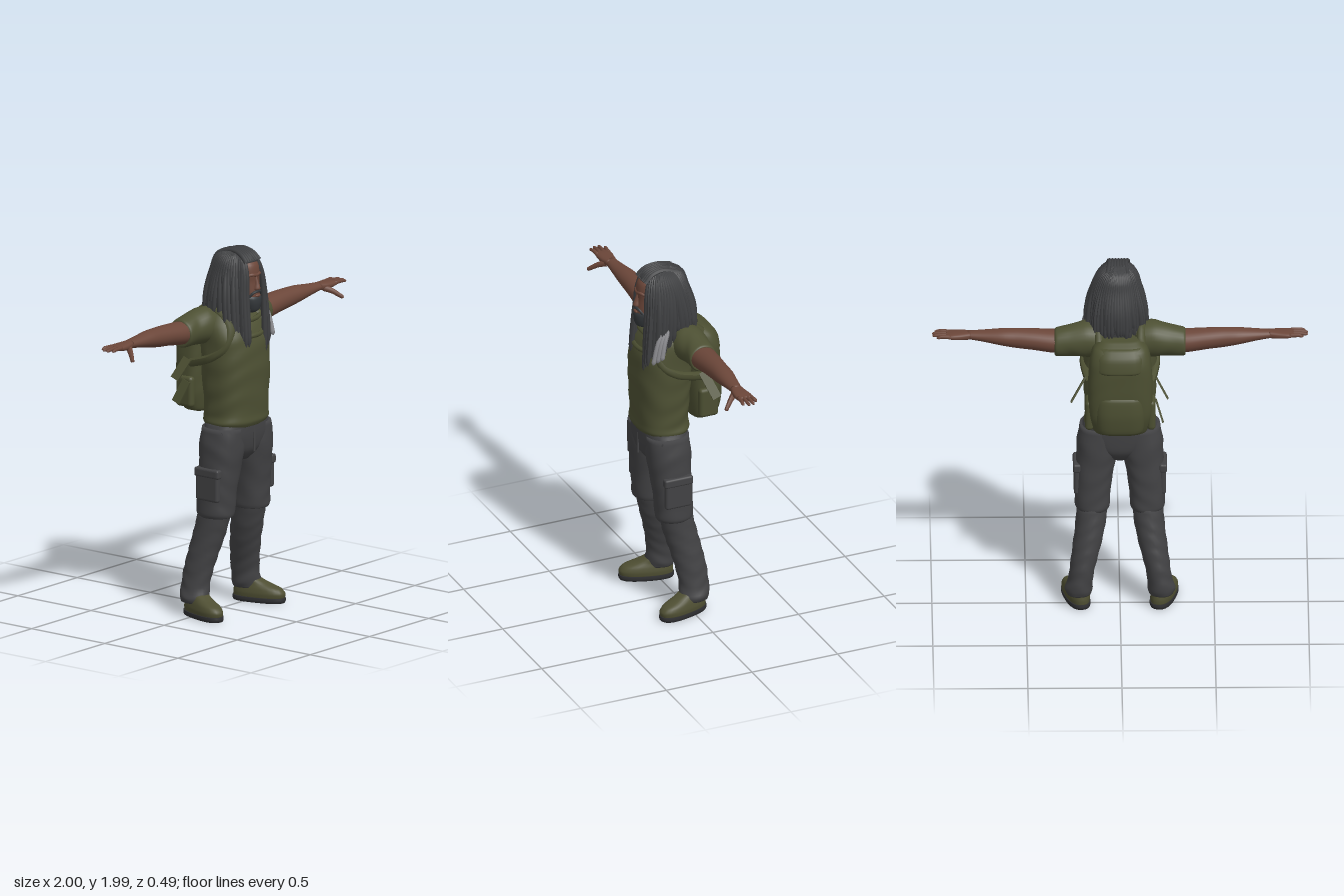
import * as THREE from 'three';
import { RoundedBoxGeometry } from 'three/addons/geometries/RoundedBoxGeometry.js';

const mat = (name, color) => Object.assign(new THREE.MeshStandardMaterial({ color }), { name });
const V = (p) => new THREE.Vector3(...p);

// Small seeded generator for hair variation
function seeded(s) {
  return () => ((s = (s * 16807) % 2147483647) / 2147483647);
}

// Smooth skin through rows [t, a, b, ra, rb], stacked along y (a = x, b = z) or x (a = y, b = z)
function loft(rows, { axis = 'y', power = 2, sides = 28, steps = 4, ripple = 0, freq = 45 } = {}) {
  const mids = new THREE.CatmullRomCurve3(rows.map((r) => V(r.slice(0, 3))), false, 'catmullrom', 0.4);
  const radii = new THREE.CatmullRomCurve3(rows.map((r) => V([r[3], r[4], 0])), false, 'catmullrom', 0.4);
  const n = (rows.length - 1) * steps, pos = [], idx = [];
  const sup = (v) => Math.sign(v) * Math.pow(Math.abs(v), 2 / power);
  const put = (t, a, b) => pos.push(...(axis === 'y' ? [a, t, b] : [t, a, b]));
  for (let i = 0; i <= n; i++) {
    const c = mids.getPoint(i / n), r = radii.getPoint(i / n);
    for (let j = 0; j < sides; j++) {
      const th = (j / sides) * Math.PI * 2;
      const k = 1 + ripple * Math.sin(c.x * freq + 2.5 * Math.sin(th * 2 + c.x * 6));
      put(c.x, c.y + r.x * k * sup(Math.cos(th)), c.z + (axis === 'y' ? 1 : -1) * r.y * k * sup(Math.sin(th)));
    }
  }
  for (let i = 0; i < n; i++) for (let j = 0; j < sides; j++) {
    const p = i * sides + j, q = i * sides + (j + 1) % sides;
    idx.push(p, p + sides, q, q, p + sides, q + sides);
  }
  // End caps
  for (const [row, end] of [[rows[0], 0], [rows[rows.length - 1], n]]) {
    const c = pos.length / 3;
    put(row[0], row[1], row[2]);
    for (let j = 0; j < sides; j++) {
      const p = end * sides + j, q = end * sides + (j + 1) % sides;
      idx.push(c, ...(end ? [q, p] : [p, q]));
    }
  }
  const g = new THREE.BufferGeometry();
  g.setAttribute('position', new THREE.Float32BufferAttribute(pos, 3));
  g.setIndex(idx);
  g.computeVertexNormals();
  return g;
}

// Tube whose radius follows a taper function of 0..1
function strand(points, radius, taper = () => 1, steps = 18, sides = 7) {
  const curve = new THREE.CatmullRomCurve3(points.map(V));
  const g = new THREE.TubeGeometry(curve, steps, radius, sides);
  const p = g.attributes.position, v = new THREE.Vector3();
  for (let i = 0; i < p.count; i++) {
    const u = Math.floor(i / (sides + 1)) / steps, c = curve.getPointAt(u);
    v.fromBufferAttribute(p, i).sub(c).multiplyScalar(taper(u)).add(c);
    p.setXYZ(i, v.x, v.y, v.z);
  }
  g.computeVertexNormals();
  return g;
}

function mirrored(geo) {
  const g = geo.index ? geo.clone() : geo.clone().setIndex([...Array(geo.attributes.position.count).keys()]);
  g.scale(-1, 1, 1);
  const a = g.index.array;
  for (let i = 0; i < a.length; i += 3) [a[i], a[i + 1]] = [a[i + 1], a[i]];
  g.computeVertexNormals();
  return g;
}

export function createModel() {
  const model = new THREE.Group();
  const shirt = mat('olive shirt', 0x4d5033), pack = mat('olive canvas', 0x4b4e31);
  const skin = mat('brown skin', 0x6b4639), trousers = mat('charcoal cloth', 0x424244);
  const hair = mat('dark hair', 0x3d3e40), beardMat = mat('dark beard', 0x33373a);
  const grey = mat('grey lock', 0x8c8c90), shoeMat = mat('olive shoe', 0x4e4e32);
  const soleMat = mat('dark sole', 0x2f2f31);
  const add = (name, geo, m) => {
    const mesh = new THREE.Mesh(geo, m);
    mesh.name = name;
    model.add(mesh);
    return mesh;
  };
  const pair = (name, geo, m) => {
    add('left' + name, geo, m);
    add('right' + name, mirrored(geo), m);
  };

  // Shirt
  add('shirtBody', loft([[1.035, 0, .085, .18, .13], [1.06, 0, .087, .193, .14], [1.1, 0, .088, .186, .138],
    [1.2, 0, .088, .19, .142], [1.35, 0, .085, .196, .15], [1.5, 0, .078, .198, .146], [1.59, 0, .052, .19, .13],
    [1.65, 0, .03, .15, .1], [1.69, 0.005, .04, .075, .07]], { power: 2.5, sides: 40, steps: 6, ripple: .012 }), shirt);
  pair('Sleeve', loft([[.08, 1.57, .005, .095, .1], [.18, 1.582, -.005, .1, .095], [.27, 1.575, -.015, .085, .082],
    [.335, 1.567, -.015, .079, .078], [.348, 1.566, -.015, .07, .07]], { axis: 'x', steps: 6, ripple: .015 }), shirt);

  // Arms and hands
  pair('Arm', loft([[.28, 1.57, -.015, .062, .068], [.36, 1.572, -.015, .062, .07], [.46, 1.582, -.014, .057, .062],
    [.55, 1.588, -.012, .053, .055], [.63, 1.594, -.01, .045, .052], [.73, 1.599, -.004, .03, .04],
    [.81, 1.602, 0, .021, .03]], { axis: 'x' }), skin);
  pair('Palm', loft([[.79, 1.602, 0, .021, .03], [.84, 1.6, .002, .021, .04], [.89, 1.602, 0, .017, .045],
    [.925, 1.604, 0, .011, .042]], { axis: 'x', power: 2.6 }), skin);
  [[-.035, .975], [-.012, .998], [.012, 1], [.036, .985]].forEach(([z, tip], i) =>
    pair('Finger' + (i + 1), loft([[.9, 1.605, z * .9, .011, .012], [.95, 1.607, z, .01, .0105],
      [tip - .012, 1.604, z * 1.1, .008, .009], [tip, 1.603, z * 1.1, .003, .003]], { axis: 'x', sides: 10 }), skin));
  pair('Thumb', strand([[.82, 1.592, .02], [.85, 1.575, .055], [.873, 1.553, .083], [.89, 1.537, .102]], .018,
    (u) => (u > .99 ? .05 : 1 - u * .45)), skin);

  // Trousers
  add('pelvis', loft([[.84, 0, .085, .05, .07], [.9, 0, .087, .15, .11], [.98, 0, .09, .215, .122],
    [1.06, 0, .09, .185, .125]], { power: 2.6, sides: 36 }), trousers);
  pair('ThighCloth', loft([[.545, .146, .068, .086, .096], [.565, .147, .068, .093, .102], [.62, .145, .07, .095, .102],
    [.72, .14, .075, .1, .106], [.83, .126, .083, .106, .113], [.93, .118, .088, .112, .12],
    [1.03, .112, .09, .1, .115]], { power: 2.3, ripple: .014, freq: 50 }), trousers);
  pair('ShinCloth', loft([[.075, .22, -.018, .066, .075], [.105, .22, -.018, .074, .084], [.16, .21, -.02, .066, .082],
    [.24, .197, -.012, .068, .085], [.34, .177, .008, .075, .088], [.45, .158, .035, .08, .092],
    [.57, .146, .062, .084, .092]], { ripple: .025, freq: 70 }), trousers);
  const pocket = new RoundedBoxGeometry(.035, .16, .15, 3, .014).translate(.228, .72, .08);
  const flap = new RoundedBoxGeometry(.042, .05, .165, 3, .012).translate(.229, .795, .08);
  pair('CargoPocket', pocket, trousers);
  pair('PocketFlap', flap, trousers);
  pair('FrontPocketSeam', strand([[.2, 1.02, .155], [.19, .96, .17], [.215, .9, .14]], .005), trousers);
  add('flySeam', new THREE.BoxGeometry(.012, .14, .008).translate(0, .96, .211), trousers);

  // Shoes, toes turned out
  const place = (g) => g.rotateY(.27).translate(.235, 0, .055);
  pair('Sole', place(loft([[0, 0, 0, .06, .145], [.012, 0, 0, .064, .15], [.028, 0, 0, .063, .148]], { power: 2.5 })), soleMat);
  pair('Shoe', place(loft([[.025, 0, 0, .06, .145], [.05, 0, .001, .062, .146], [.075, 0, -.008, .057, .132],
    [.1, 0, -.04, .05, .095], [.13, -.004, -.072, .047, .062]], { power: 2.4 })), shoeMat);

  // Backpack with lid, lower pouch and side pockets
  add('packBody', loft([[1.08, 0, -.12, .1, .045], [1.1, 0, -.125, .14, .065], [1.2, 0, -.135, .168, .09],
    [1.35, 0, -.135, .172, .095], [1.5, 0, -.13, .165, .095], [1.58, 0, -.115, .145, .085],
    [1.625, 0, -.09, .1, .05]], { power: 3, sides: 36, steps: 5, ripple: .006 }), pack);
  add('packLid', loft([[1.47, 0, -.14, .13, .094], [1.485, 0, -.14, .138, .098], [1.55, 0, -.13, .136, .094],
    [1.6, 0, -.112, .12, .075]], { power: 3 }), pack);
  add('packPouch', loft([[1.1, 0, -.16, .1, .05], [1.125, 0, -.16, .125, .075], [1.22, 0, -.16, .135, .088],
    [1.31, 0, -.16, .13, .08], [1.33, 0, -.16, .115, .065]], { power: 3 }), pack);
  pair('PackSidePocket', new RoundedBoxGeometry(.045, .17, .11, 3, .02).translate(.165, 1.2, -.125), pack);

  // Harness: shoulder straps, chest bands and loose strap ends
  pair('ShoulderStrap', strand([[.11, 1.6, -.11], [.115, 1.665, -.02], [.12, 1.655, .07], [.13, 1.58, .155],
    [.165, 1.48, .15], [.19, 1.42, .08], [.18, 1.385, -.01], [.16, 1.36, -.09]], .024, undefined, 30, 8), pack);
  [1.61, 1.535].forEach((y, i) => add('chestBand' + (i + 1),
    strand([[-.13, y, .15 - i * .01], [-.06, y - .006, .174 + i * .035], [.06, y - .006, .174 + i * .035],
      [.13, y, .15 - i * .01]], .013), pack));
  const strapEnd = (name, x, y, z, tilt, length) => {
    const s = add(name, new THREE.BoxGeometry(.009, length, .05), pack);
    s.position.set(x, y, z);
    s.rotation.set(.35, 0, tilt);
  };
  strapEnd('leftStrapEnd', .222, 1.33, -.11, .52, .16);
  strapEnd('rightUpperStrapEnd', -.222, 1.335, -.11, -.5, .13);
  strapEnd('rightLowerStrapEnd', -.208, 1.205, -.12, -.3, .13);

  // Neck, head and face
  add('neck', new THREE.CylinderGeometry(.06, .07, .16, 24).translate(.01, 1.69, .075), skin);
  add('head', loft([[1.665, .01, .16, .035, .045], [1.7, .01, .15, .055, .075], [1.76, .01, .135, .067, .09],
    [1.82, .01, .125, .072, .093], [1.86, .01, .12, .073, .1], [1.91, .01, .115, .069, .095],
    [1.95, .01, .1, .045, .07]], { power: 2.3 }), skin);
  add('browRidge', strand([[-.045, 1.852, .19], [-.02, 1.86, .213], [.01, 1.855, .217], [.04, 1.86, .213],
    [.065, 1.852, .19]], .009), skin);
  add('nose', loft([[1.772, .01, .215, .01, .008], [1.782, .01, .22, .02, .022], [1.81, .01, .216, .012, .018],
    [1.855, .01, .208, .008, .01]], { sides: 16 }), skin);
  add('beard', loft([[1.65, .01, .175, .025, .03], [1.665, .01, .168, .045, .058], [1.7, .01, .155, .06, .08],
    [1.73, .01, .148, .066, .085], [1.748, .01, .14, .067, .078]], { power: 2.3 }), beardMat);
  add('moustache', strand([[-.036, 1.735, .2], [-.018, 1.762, .22], [.01, 1.768, .227], [.038, 1.762, .22],
    [.056, 1.735, .2]], .008), beardMat);
  add('lips', new THREE.SphereGeometry(1, 16, 10).scale(.02, .008, .008).translate(.01, 1.745, .229), skin);

  // Hair mass and hanging locks
  add('hairMass', loft([[1.6, .02, -.03, .115, .055], [1.7, .02, -.01, .135, .08], [1.8, .02, .035, .125, .095],
    [1.88, .015, .06, .118, .118], [1.935, .012, .082, .098, .118], [1.972, .01, .082, .055, .075],
    [1.982, .01, .08, .02, .03]], { sides: 36 }), hair);
  const rnd = seeded(71);
  const count = 54;
  for (let i = 0; i < count; i++) {
    const a = THREE.MathUtils.degToRad(30 + (300 * i) / (count - 1));
    const s = Math.sin(a), c = Math.cos(a), j = rnd() - .5;
    const endZ = c > 0 ? .05 + .185 * Math.pow(c, .6) : .05 + .15 * c;
    const endY = (endZ > .05 ? Math.max(1.44, 1.66 - (endZ - .05) * 1.75) : 1.63) + j * .07;
    const w = .95 + rnd() * .2;
    add('hairLock' + (i + 1), strand([
      [.01 + .035 * s, 1.972, .08 + .045 * c], [.012 + .088 * s, 1.94, .075 + .105 * c],
      [.018 + .12 * s, 1.87, .062 + (c > 0 ? .15 : .115) * c], [.02 + .138 * s * w, 1.75, (endZ + .06 + .14 * c) / 2],
      [.02 + (.145 + j * .02) * s * w, endY, endZ + j * .012]], .017, (u) => (u > .99 ? .12 : .75 + .4 * u - .5 * Math.pow(u, 6))), hair);
  }
  // Locks swept back from the forehead
  for (let i = 0; i < 7; i++) {
    const x = -.045 + i * .018;
    add('topLock' + (i + 1), strand([[x, 1.925, .195], [x * .9, 1.962, .155], [x * .8 + .004, 1.978, .09],
      [x + .004, 1.955, 0]], .013), hair);
  }
  // Grey locks on the left shoulder
  for (let i = 0; i < 3; i++) {
    add('greyLock' + (i + 1), strand([[.155 + i * .006, 1.7, .12 - i * .01], [.168 + i * .01, 1.62, .165 - i * .014],
      [.175 + i * .012, 1.49 + i * .015, .2 - i * .02]], .013, (u) => (u > .99 ? .2 : 1)), grey);
  }
  return model;
}
